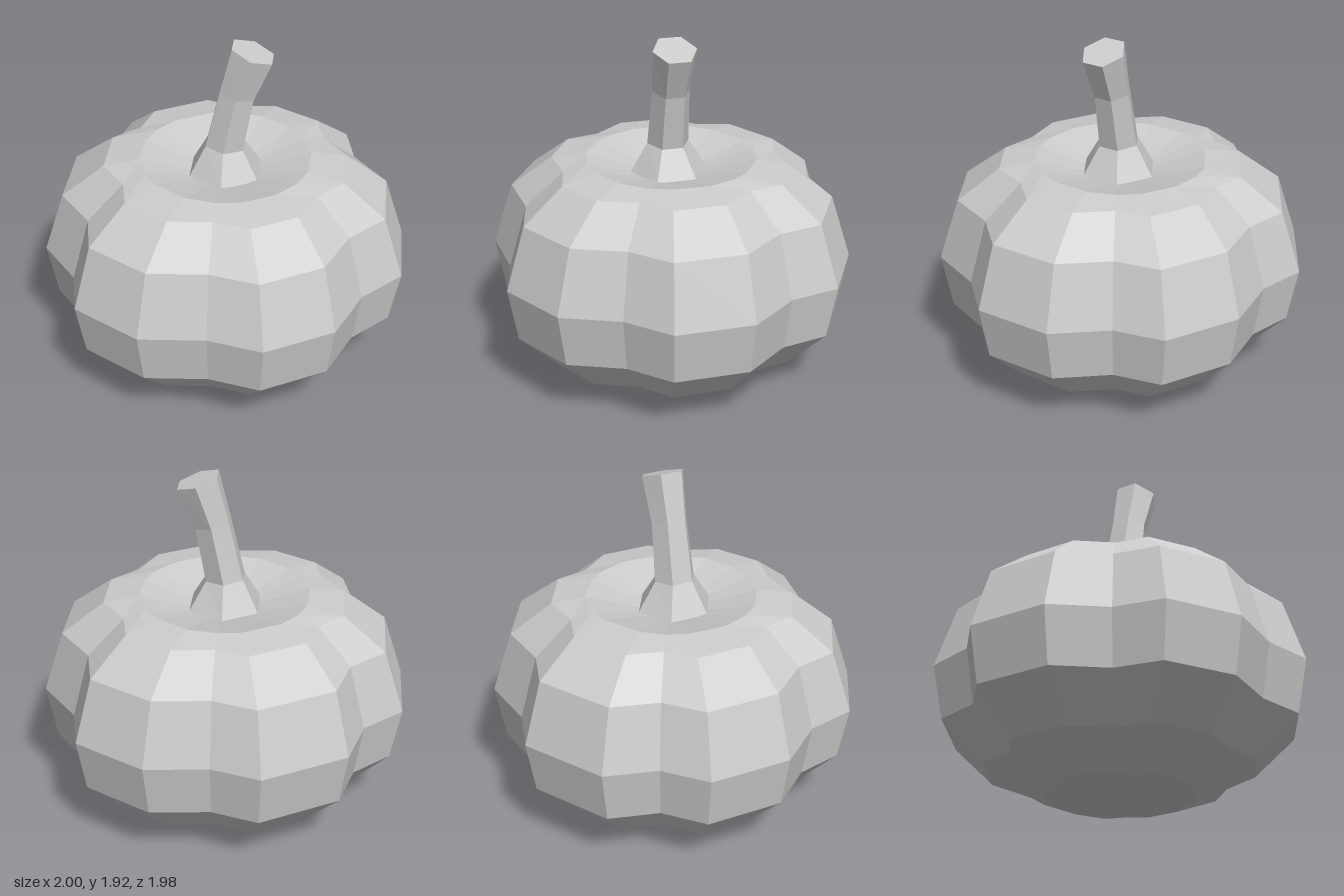
import * as THREE from 'three';

const material = new THREE.MeshStandardMaterial({ color: 0xcccccc, flatShading: true });

// Skins a stack of rings (bottom to top) and closes both ends with a fan.
function loft(name, rings, bottomCentre, topCentre) {
  const n = rings[0].length;
  const positions = [...rings.flat(), bottomCentre, topCentre].flatMap((p) => p.toArray());
  const bottom = rings.length * n, top = bottom + 1, last = (rings.length - 1) * n;
  const index = [];
  for (let j = 0; j < n; j++) {
    const k = (j + 1) % n;
    for (let i = 0; i < last; i += n) {
      index.push(i + j, i + n + j, i + n + k, i + j, i + n + k, i + k);
    }
    index.push(bottom, j, k, top, last + k, last + j);
  }
  const geometry = new THREE.BufferGeometry();
  geometry.setAttribute('position', new THREE.Float32BufferAttribute(positions, 3));
  geometry.setIndex(index);
  const flat = geometry.toNonIndexed();
  flat.computeVertexNormals();
  const mesh = new THREE.Mesh(flat, material);
  mesh.name = name;
  return mesh;
}

// Plan outline at the widest point: six lobes, each with two corners and a valley [x, z]
const outline = [
  [1, -0.185], [1, 0.25], [0.79, 0.465], [0.66, 0.78], [0.3, 0.985], [0, 0.92],
  [-0.36, 0.95], [-0.73, 0.735], [-0.79, 0.46], [-1, 0.2], [-1, -0.26], [-0.79, -0.45],
  [-0.71, -0.74], [-0.27, -0.99], [0, -0.91], [0.345, -0.945], [0.73, -0.73], [0.79, -0.45],
];

// Body levels: [height, scale of the outline, how far it is rounded to a circle]
const levels = [
  [0, 0.41, 0.4], [0.135, 0.72, 0], [0.365, 0.945, 0], [0.67, 1, 0],
  [1.02, 0.89, 0], [1.2, 0.66, 0], [1.23, 0.475, 1],
];

function bodyRing([y, scale, round]) {
  return outline.map(([x, z]) => {
    const s = scale * THREE.MathUtils.lerp(1, 1 / Math.hypot(x, z), round);
    return new THREE.Vector3(x * s, y, z * s);
  });
}

// Six-sided stem levels: [centre x, centre y, radius, tilt drop per unit x]
const stemLevels = [
  [0, 1.155, 0.217, 0], [0, 1.32, 0.117, 0.08], [0.065, 1.64, 0.104, 0.22], [0.145, 1.885, 0.122, 0.35],
];
const stemZ = 0.017;

function stemRing([cx, cy, r, slope]) {
  return Array.from({ length: 6 }, (_, i) => {
    const a = (i / 6) * Math.PI * 2 + Math.PI / 6;
    const dx = r * Math.cos(a);
    return new THREE.Vector3(cx + dx, cy - dx * slope, stemZ + r * Math.sin(a));
  });
}

export function createModel() {
  const group = new THREE.Group();
  group.name = 'pumpkin';
  // Lobed body, with the crown dipping towards the stem
  group.add(loft('body', levels.map(bodyRing), new THREE.Vector3(0, 0, 0), new THREE.Vector3(0, 1.1, 0)));
  // Leaning stem with a flared foot
  const [[bx, by], , , [tx, ty]] = stemLevels;
  group.add(loft('stem', stemLevels.map(stemRing), new THREE.Vector3(bx, by, stemZ), new THREE.Vector3(tx, ty, stemZ)));
  return group;
}
